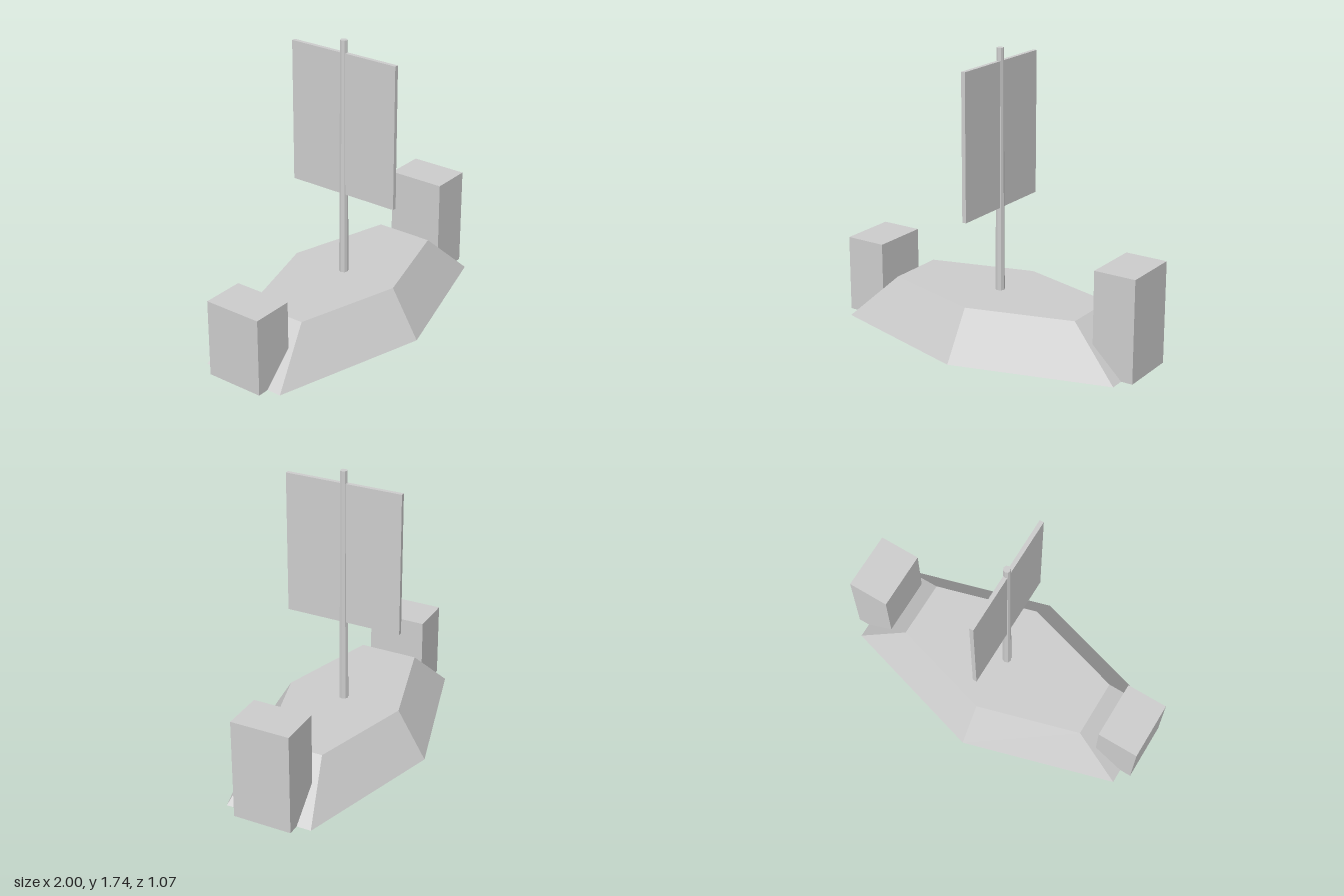
import * as THREE from 'three';

export function createModel() {
  const model = new THREE.Group();
  model.name = 'sailingBoat';

  const lightGrey = new THREE.MeshStandardMaterial({ color: 0xcccccc });
  lightGrey.name = 'lightGrey';

  function add(name, geometry, x, y, z) {
    // split vertices so every facet stays flat
    const flat = geometry.index ? geometry.toNonIndexed() : geometry;
    flat.computeVertexNormals();
    const mesh = new THREE.Mesh(flat, lightGrey);
    mesh.name = name;
    mesh.position.set(x, y, z);
    model.add(mesh);
    return mesh;
  }

  // Hull: six-sided frustum stretched lengthwise
  const hull = new THREE.CylinderGeometry(0.36, 0.535, 0.29, 6);
  hull.scale(2.007, 1, 1);
  add('hull', hull, 0, 0.145, 0);

  // Blocks at the two ends, the left one taller
  const blockWidth = 0.257;
  for (const [name, side, height] of [['leftEndBlock', 1, 0.615], ['rightEndBlock', -1, 0.47]]) {
    add(name, new THREE.BoxGeometry(blockWidth, height, 0.358), side * (1 - blockWidth / 2), height / 2, 0);
  }

  // Tapered mast standing on the deck
  add('mast', new THREE.CylinderGeometry(0.021, 0.028, 1.45, 8), 0, 1.015, 0);

  // Thin square sail across the boat
  add('sail', new THREE.BoxGeometry(0.025, 0.865, 0.72), 0, 1.2325, 0);

  return model;
}
